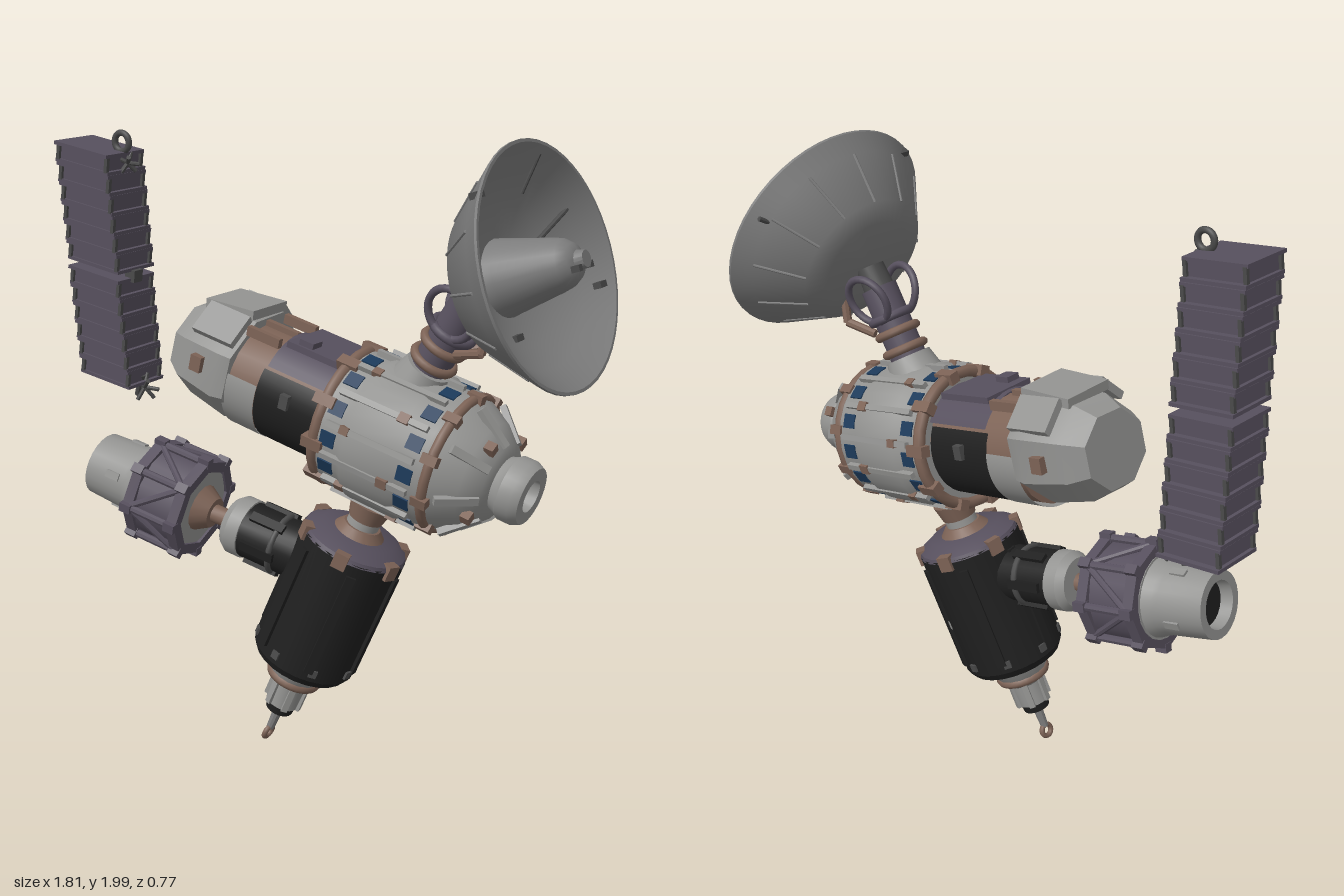
import * as THREE from 'three';
import { toCreasedNormals } from 'three/addons/utils/BufferGeometryUtils.js';

const paint = (name, color) => {
  const m = new THREE.MeshStandardMaterial({ color, side: THREE.DoubleSide });
  m.name = name;
  return m;
};
const UP = new THREE.Vector3(0, 1, 0);

export function createModel() {
  const light = paint('light grey hull', 0x949492), dishGrey = paint('dish grey', 0x7c7c7c);
  const purple = paint('dusty purple', 0x57505e), brown = paint('copper brown', 0x7d6356);
  const black = paint('black panel', 0x1f1f1f), blue = paint('blue window', 0x1c3a5a);
  const dark = paint('dark grey', 0x4a4a4a);
  const model = new THREE.Group();
  model.name = 'spaceStation';

  // A group at point a whose local y axis points to b
  function frame(name, a, b, parent = model) {
    const g = new THREE.Group(), from = new THREE.Vector3(...a);
    g.name = name;
    g.position.copy(from);
    g.quaternion.setFromUnitVectors(UP, new THREE.Vector3(...b).sub(from).normalize());
    parent.add(g);
    return g;
  }
  function add(parent, name, geo, mat, pos = [0, 0, 0], rot = [0, 0, 0]) {
    const m = new THREE.Mesh(geo, mat);
    m.name = name;
    m.position.set(...pos);
    m.rotation.set(...rot);
    parent.add(m);
    return m;
  }
  const turned = (p, name, mat, pts, sides = 24) => add(p, name,
    toCreasedNormals(new THREE.LatheGeometry(pts.map(q => new THREE.Vector2(...q)), sides), 0.6), mat);
  // Closed drum between heights y0 and y1
  const drum = (p, name, mat, y0, y1, r0, r1 = r0, sides = 20) =>
    turned(p, name, mat, [[0, y0], [r0, y0], [r1, y1], [0, y1]], sides);
  const box = (p, name, mat, size, pos, rot) => add(p, name, new THREE.BoxGeometry(...size), mat, pos, rot);
  // Boxes spread round the local axis: size is [tangential, along, radial]
  function around(p, name, mat, n, r, y, size, start = 0, tilt = 0) {
    for (let i = 0; i < n; i++) {
      const a = start + i / n * Math.PI * 2;
      const m = box(p, name, mat, size, [r * Math.sin(a), y, r * Math.cos(a)]);
      m.rotation.set(tilt, a, 0, 'YXZ');
    }
  }
  // Curved cladding plate, angles in degrees
  const clad = (p, name, mat, r, y0, y1, a0, a1) => add(p, name, new THREE.CylinderGeometry(
    r, r, y1 - y0, 12, 1, true, a0 * Math.PI / 180, (a1 - a0) * Math.PI / 180), mat, [0, (y0 + y1) / 2, 0]);
  const ring = (p, name, mat, R, tube, pos, rot) =>
    add(p, name, new THREE.TorusGeometry(R, tube, 8, 28), mat, pos, rot);
  function rod(p, name, mat, a, b, r) {
    const g = frame(name, a, b, p), len = new THREE.Vector3(...a).distanceTo(new THREE.Vector3(...b));
    drum(g, name, mat, 0, len, r, r, 8);
  }
  const flat = [Math.PI / 2, 0, 0];

  // Main hull: local -x is the upper side
  const body = frame('mainHull', [-0.45, 1.265, 0.005], [0.71, 0.997, -0.012]);
  const hood = turned(body, 'rearHood', light,
    [[0, 0], [0.135, 0], [0.175, 0.06], [0.2, 0.21], [0.19, 0.25], [0, 0.25]], 8);
  hood.rotation.y = Math.PI / 8;
  hood.scale.set(0.9, 1, 1.02);
  hood.position.x = -0.025;
  box(body, 'hoodRoof', light, [0.03, 0.18, 0.18], [-0.198, 0.16, 0], [0, 0, 0.12]);
  for (const s of [1, -1]) {
    box(body, 'hoodRoofSide', light, [0.025, 0.15, 0.11], [-0.16, 0.17, 0.13 * s], [0, 0.75 * s, 0]);
    box(body, 'hoodLatch', brown, [0.05, 0.04, 0.03], [-0.03, 0.14, 0.18 * s]);
    clad(body, 'sidePanel', black, 0.172, 0.36, 0.6, s > 0 ? -32 : 105, s > 0 ? 75 : 212);
    clad(body, 'sideFairing', light, 0.174, 0.24, 0.36, s > 0 ? -12 : 105, s > 0 ? 75 : 192);
    box(body, 'panelLatch', dark, [0.045, 0.03, 0.02], [-0.03, 0.47, 0.175 * s]);
  }
  drum(body, 'midCore', brown, 0.24, 0.62, 0.164);
  clad(body, 'topSaddle', purple, 0.178, 0.37, 0.61, 215, 325);
  clad(body, 'bellyPanel', light, 0.174, 0.24, 0.6, 72, 108);
  box(body, 'saddlePlate', purple, [0.02, 0.2, 0.19], [-0.172, 0.49, 0]);
  for (const z of [-0.1, 0, 0.1]) box(body, 'topRail', brown, [0.03, 0.12, 0.02], [-0.165, 0.31, z]);
  box(body, 'saddleBox', purple, [0.03, 0.05, 0.05], [-0.185, 0.45, 0.06]);

  turned(body, 'habitatDrum', light, [[0, 0.61], [0.2, 0.61], [0.218, 0.63], [0.218, 0.7], [0.23, 0.72],
    [0.23, 0.88], [0.22, 0.9], [0.22, 0.97], [0.208, 1.0], [0.165, 1.08], [0.12, 1.13], [0.085, 1.14],
    [0.092, 1.16], [0.1, 1.17], [0.1, 1.21], [0.088, 1.235], [0.05, 1.235], [0.05, 1.19]], 28);
  drum(body, 'portHole', black, 1.18, 1.195, 0.052);
  ring(body, 'rearBand', brown, 0.21, 0.019, [0, 0.612, 0], flat);
  ring(body, 'frontBand', brown, 0.208, 0.016, [0, 0.99, 0], flat);
  around(body, 'rearClamp', brown, 10, 0.213, 0.615, [0.035, 0.07, 0.035], 0.15);
  around(body, 'frontClamp', brown, 10, 0.209, 0.99, [0.03, 0.05, 0.035], 0.3);
  around(body, 'rearWindow', blue, 14, 0.216, 0.662, [0.045, 0.05, 0.009]);
  around(body, 'frontWindow', blue, 14, 0.218, 0.93, [0.045, 0.05, 0.009]);
  around(body, 'hullRail', light, 14, 0.225, 0.8, [0.018, 0.3, 0.02], Math.PI / 14);
  around(body, 'hullBracket', brown, 7, 0.229, 0.87, [0.03, 0.035, 0.018], 0.224);
  around(body, 'hullBracketRear', brown, 7, 0.229, 0.715, [0.025, 0.03, 0.018], 0.673);
  around(body, 'noseRib', light, 8, 0.165, 1.08, [0.025, 0.13, 0.02], 0.2, -0.75);
  around(body, 'noseLatch', brown, 4, 0.15, 1.11, [0.03, 0.03, 0.03], 0.6);

  // Antenna mast
  const mast = frame('antennaMast', [0.38, 1.27, 0], [0.585, 1.6, -0.005]);
  drum(mast, 'mastBase', light, 0, 0.065, 0.09, 0.072);
  drum(mast, 'mastTube', purple, 0.05, 0.3, 0.058);
  drum(mast, 'mastHead', dark, 0.29, 0.37, 0.05, 0.045);
  for (const y of [0.09, 0.15, 0.2]) ring(mast, 'mastCollar', y < 0.17 ? brown : purple, 0.063, 0.014, [0, y, 0], flat);
  for (const s of [1, -1]) {
    ring(mast, 'mastHoop', purple, 0.078, 0.012, [-0.01, 0.27, 0.07 * s], [0.25 * s, 0, 0]);
    rod(mast, 'mastStrut', brown, [0.06, 0.17, 0.04 * s], [0.13, 0.24, 0.07 * s], 0.014);
    rod(mast, 'mastStrutUpper', brown, [0.13, 0.24, 0.07 * s], [0.1, 0.33, 0.06 * s], 0.014);
  }

  // Dish, slightly oval, with the feed on its axis
  const dish = frame('dish', [0.783, 1.66, -0.005], [1.73, 1.983, -0.005]);
  dish.scale.x = 0.92;
  turned(dish, 'dishShell', dishGrey, [[0, -0.215], [0.165, -0.21], [0.235, -0.185], [0.34, -0.058], [0.384, -0.005],
    [0.384, 0.003], [0.374, 0.003], [0.3, -0.065], [0.22, -0.115], [0.12, -0.15], [0, -0.16]], 48);
  turned(dish, 'feedCone', dishGrey, [[0.125, -0.16], [0.115, -0.12], [0.083, 0.02], [0.074, 0.05], [0.055, 0.075],
    [0.03, 0.085], [0, 0.087]]);
  drum(dish, 'feedTip', dishGrey, 0.07, 0.108, 0.035, 0.026, 16);
  for (const s of [1, -1]) box(dish, 'feedLug', dark, [0.02, 0.025, 0.02], [0.02, 0.09, 0.035 * s]);
  for (let i = 0; i < 12; i++) {
    const a = i * Math.PI / 6, s = Math.sin(a), c = Math.cos(a);
    rod(dish, 'dishSeam', dishGrey, [0.235 * s, -0.185, 0.235 * c], [0.34 * s, -0.058, 0.34 * c], 0.005);
  }
  rod(dish, 'dishStrut', dark, [-0.05, -0.12, -0.1], [-0.17, -0.04, -0.33], 0.008);
  rod(dish, 'dishWire', dark, [-0.23, -0.09, -0.11], [-0.33, -0.02, -0.135], 0.006);
  for (const [x, z] of [[-0.26, 0.25], [0.11, -0.31], [0.18, 0.06]])
    box(dish, 'dishFitting', dark, [0.02, 0.025, 0.04], [x, x > 0.15 ? -0.125 : -0.025, z]);

  // Lower module hanging from the hull
  const lower = frame('lowerModule', [0.25, 0.92, 0], [-0.09, 0.03, 0.127]);
  drum(lower, 'lowerNeck', light, -0.04, 0.2, 0.052);
  drum(lower, 'neckFlange', brown, 0.06, 0.115, 0.07, 0.056);
  drum(lower, 'neckFoot', brown, 0.14, 0.185, 0.06, 0.1);
  turned(lower, 'drumShoulder', purple, [[0, 0.165], [0.12, 0.165], [0.165, 0.19], [0.171, 0.205], [0, 0.205]]);
  drum(lower, 'drumWall', black, 0.2, 0.63, 0.17);
  turned(lower, 'drumBase', black, [[0.17, 0.63], [0.155, 0.655], [0, 0.655]]);
  around(lower, 'drumClamp', brown, 6, 0.163, 0.205, [0.045, 0.05, 0.03], 0.4);
  around(lower, 'drumFin', black, 6, 0.168, 0.42, [0.03, 0.36, 0.02], 0.1);
  around(lower, 'drumStud', dark, 8, 0.168, 0.6, [0.025, 0.025, 0.015]);
  clad(lower, 'drumStripe', light, 0.174, 0.425, 0.455, -125, -50);
  turned(lower, 'taper', light, [[0, 0.65], [0.11, 0.65], [0.08, 0.73], [0.058, 0.75], [0.055, 0.83], [0, 0.83]], 16);
  ring(lower, 'taperBand', brown, 0.078, 0.016, [0, 0.72, 0], flat);
  around(lower, 'taperRib', light, 6, 0.055, 0.785, [0.02, 0.09, 0.02]);
  drum(lower, 'tipCollar', black, 0.81, 0.86, 0.052, 0.045, 16);
  drum(lower, 'tipRod', dishGrey, 0.85, 0.94, 0.017, 0.013, 10);
  ring(lower, 'tipEye', brown, 0.02, 0.009, [0, 0.957, 0], [0, -0.85, 0]);

  // Side module on its boom
  const side = frame('sideModule', [0, 0.665, 0.06], [-0.765, 0.84, 0.135]);
  drum(side, 'boomSocket', black, -0.06, 0.2, 0.092);
  turned(side, 'socketCap', light, [[0, 0.19], [0.098, 0.19], [0.098, 0.235], [0.08, 0.26], [0, 0.26]]);
  ring(side, 'socketBand', dark, 0.094, 0.01, [0, 0.07, 0], flat);
  around(side, 'socketRib', black, 6, 0.094, 0.11, [0.03, 0.12, 0.02]);
  drum(side, 'boom', brown, 0.25, 0.38, 0.03, 0.03, 12);
  drum(side, 'boomCone', brown, 0.33, 0.4, 0.05, 0.09, 16);
  drum(side, 'frameCore', light, 0.38, 0.58, 0.13, 0.135);
  // Eight-sided truss with zigzag braces
  for (const y of [0.39, 0.56]) {
    turned(side, 'frameHoop', purple, [[0.135, y - 0.018], [0.172, y - 0.018], [0.172, y + 0.018], [0.135, y + 0.018],
      [0.135, y - 0.018]], 8);
    around(side, 'frameKnot', purple, 8, 0.168, y, [0.03, 0.04, 0.03]);
  }
  clad(side, 'framePlating', purple, 0.152, 0.39, 0.56, 0, 360);
  for (let i = 0; i < 8; i++) {
    const p = (k, y) => [0.165 * Math.sin(k * Math.PI / 4), y, 0.165 * Math.cos(k * Math.PI / 4)];
    rod(side, 'framePost', purple, p(i, 0.39), p(i, 0.56), 0.013);
    rod(side, 'frameBrace', purple, p(i, i % 2 ? 0.39 : 0.56), p(i + 1, i % 2 ? 0.56 : 0.39), 0.011);
  }
  turned(side, 'sideDrum', light, [[0, 0.56], [0.135, 0.56], [0.116, 0.61], [0.112, 0.63], [0.105, 0.775],
    [0.075, 0.775], [0.07, 0.73]]);
  drum(side, 'sideDrumPort', black, 0.725, 0.735, 0.074);
  around(side, 'sideDrumLug', light, 4, 0.11, 0.67, [0.025, 0.05, 0.012], 0.4);

  // Folded solar array: two leaning stacks of level slats
  const array = frame('solarArray', [-0.8, 1.1, 0], [-0.685, 1.905, 0]);
  for (let i = 0; i < 12; i++) {
    const y = 0.033 + i * 0.0655 + (i > 5 ? 0.022 : 0), z = -0.018 + i * 0.0162;
    box(array, 'arraySlat', purple, [0.19, 0.062, 0.15], [0, y, z]);
    for (const s of [1, -1]) {
      box(array, 'arrayLip', purple, [0.214, 0.011, 0.176], [0, y + 0.027 * s, z + 0.006 * s]);
      for (const e of [1, -1]) box(array, 'arrayHinge', dark, [0.012, 0.05, 0.012], [0.098 * s, y, z + 0.078 * e]);
    }
  }
  box(array, 'arrayLink', dark, [0.04, 0.04, 0.04], [0.1, 0.4, 0.075]);
  ring(array, 'arrayEye', dark, 0.028, 0.01, [0.085, 0.835, 0.16]);
  rod(array, 'arrayFoot', dark, [0.09, 0.03, -0.02], [0.07, -0.05, -0.03], 0.011);
  // Small star-shaped claws
  for (const [x, y, z, r] of [[0.105, -0.01, -0.02, 0.045], [0.11, 0.775, 0.155, 0.03]])
    for (let i = 0; i < 7; i++) {
      const a = i * Math.PI * 2 / 7;
      rod(array, 'arrayClaw', dark, [x, y, z], [x + r * Math.cos(a), y + r * Math.sin(a), z + (i % 2 ? 0.02 : -0.02)], 0.007);
    }
  return model;
}
